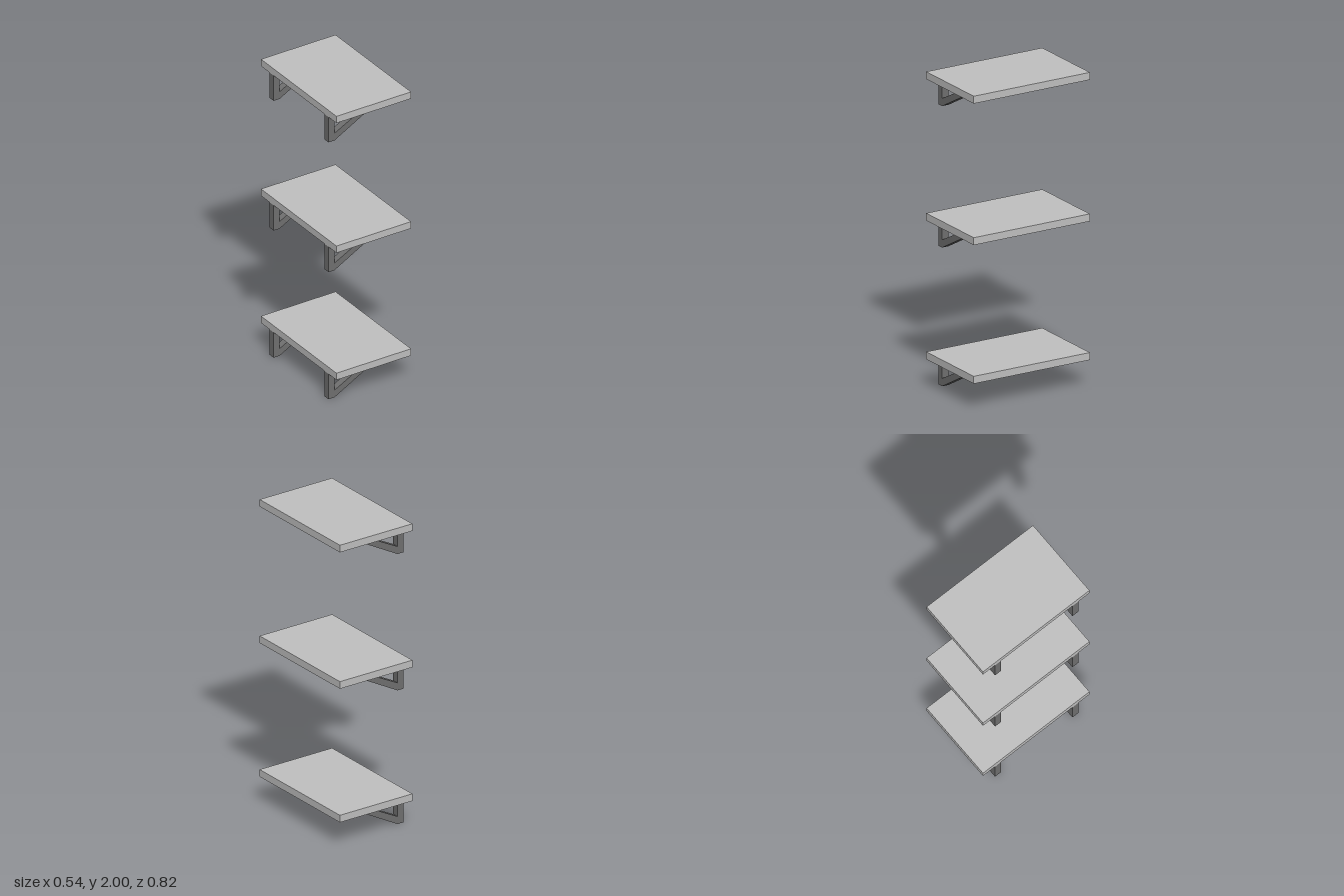
import * as THREE from 'three';

const shelfGrey = new THREE.MeshStandardMaterial({ color: 0xc0c0c0 });
shelfGrey.name = 'shelfGrey';
const bracketGrey = new THREE.MeshStandardMaterial({ color: 0x707070 });
bracketGrey.name = 'bracketGrey';

const BACK = -0.268, UNDERSIDE = 0.175, TOP = 0.222, WIDTH = 0.045;

const points = (list) => list.map(([x, y]) => new THREE.Vector2(x, y));

// Bracket side profile: wall post, top arm and diagonal brace around a triangular hole
function bracketGeometry() {
  const shape = new THREE.Shape(points([
    [BACK, 0], [-0.225, 0], [0.008, 0.127], [0.054, 0.127], [0.054, UNDERSIDE], [BACK, UNDERSIDE],
  ]));
  shape.holes.push(new THREE.Path(points([[-0.226, 0.049], [-0.226, 0.127], [-0.076, 0.127]])));
  return new THREE.ExtrudeGeometry(shape, { depth: WIDTH, bevelEnabled: false })
    .translate(0, 0, -WIDTH / 2);
}

export function createModel() {
  const model = new THREE.Group();
  model.name = 'wallShelves';

  const boardGeo = new THREE.BoxGeometry(0.536, TOP - UNDERSIDE, 0.824);
  const bracketGeo = bracketGeometry();

  // Three shelves, each with a board on two brackets
  [['lower', 0], ['middle', 0.88], ['upper', 2 - TOP]].forEach(([level, y]) => {
    const shelf = new THREE.Group();
    shelf.name = level + 'Shelf';
    shelf.position.y = y;

    const board = new THREE.Mesh(boardGeo, shelfGrey);
    board.name = 'board';
    board.position.y = (TOP + UNDERSIDE) / 2;
    shelf.add(board);

    [['frontBracket', 0.303], ['rearBracket', -0.296]].forEach(([name, z]) => {
      const bracket = new THREE.Mesh(bracketGeo, bracketGrey);
      bracket.name = name;
      bracket.position.z = z;
      shelf.add(bracket);
    });
    model.add(shelf);
  });

  return model;
}
